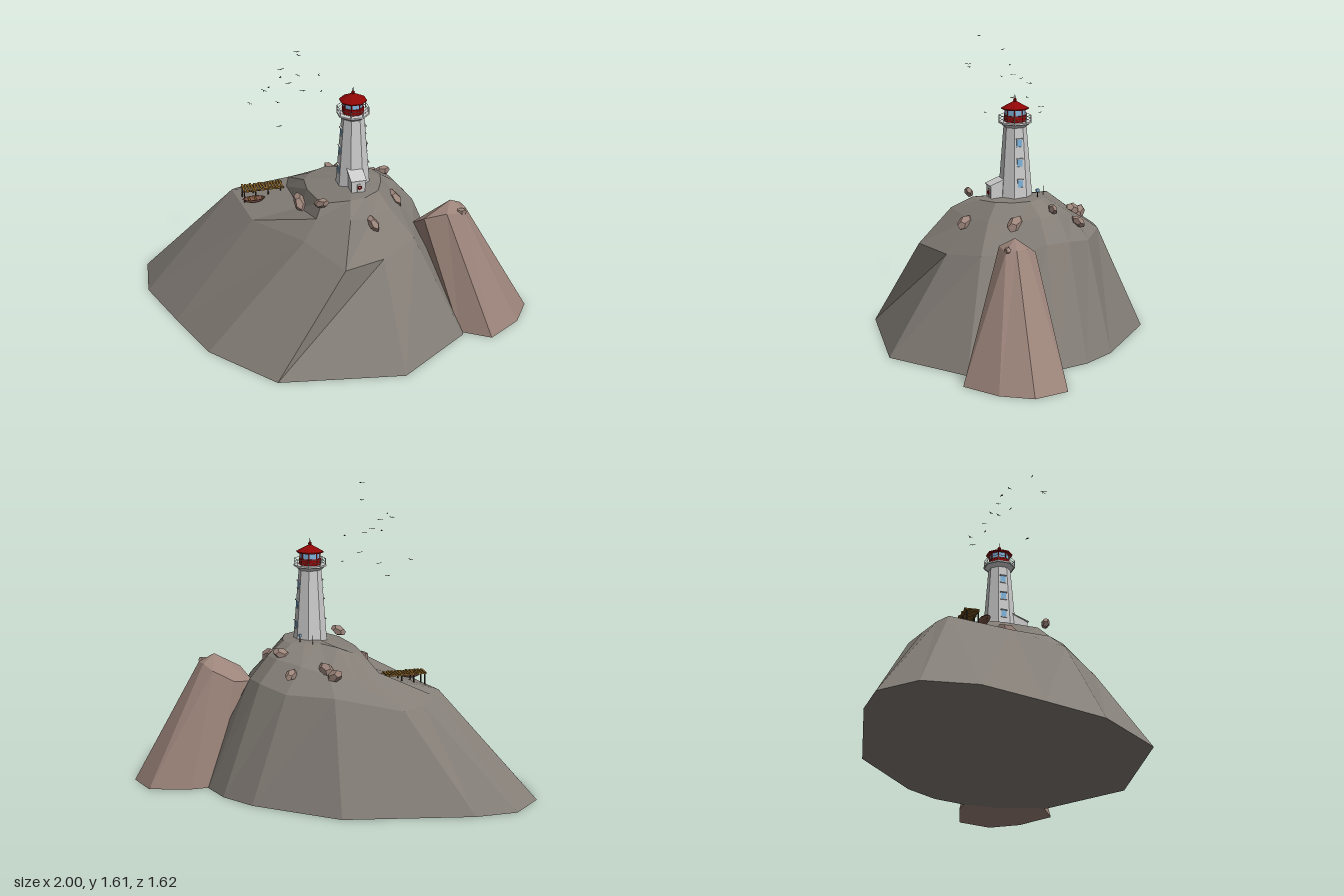
import * as THREE from 'three';

const mat = (color, side = THREE.FrontSide) =>
  new THREE.MeshStandardMaterial({ color, flatShading: true, side });
const GREY = mat(0xcccccc), ROCK = mat(0x847e77), CRAG = mat(0x9c847a), RED = mat(0x900606),
  GLASS = mat(0x7fb4dc), WOOD = mat(0x8a6428), DARK = mat(0x3a3430, THREE.DoubleSide),
  BOAT = mat(0x7d5548, THREE.DoubleSide);

function add(parent, name, geometry, material, x = 0, y = 0, z = 0) {
  const m = new THREE.Mesh(geometry, material);
  m.name = name;
  m.position.set(x, y, z);
  parent.add(m);
  return m;
}
const box = (w, h, d) => new THREE.BoxGeometry(w, h, d);

// Closed faceted solid through rings of [x, y, z] points, capped at both ends
function loft(rings, top, bottom) {
  const p = [], n = rings[0].length;
  const tri = (a, b, c) => p.push(...a, ...b, ...c);
  for (let i = 0; i < n; i++) {
    const j = (i + 1) % n;
    for (let r = 0; r + 1 < rings.length; r++) {
      const lo = rings[r], up = rings[r + 1];
      tri(lo[j], lo[i], up[i]);
      tri(lo[j], up[i], up[j]);
    }
    const last = rings[rings.length - 1];
    tri(top, last[j], last[i]);
    tri(bottom, rings[0][i], rings[0][j]);
  }
  const g = new THREE.BufferGeometry();
  g.setAttribute('position', new THREE.Float32BufferAttribute(p, 3));
  g.computeVertexNormals();
  return g;
}
const ground = pts => pts.map(([x, z]) => [x, 0, z]);

// Octagonal frustum with flats facing the axes; sizes are half widths
function octagon(low, high, h) {
  const k = 1 / Math.cos(Math.PI / 8);
  return new THREE.CylinderGeometry(high * k, low * k, h, 8).rotateY(Math.PI / 8);
}

function buildIsland(root) {
  const base = ground([[-0.9, -0.02], [-1, -0.37], [-0.96, -0.65], [-0.78, -0.81], [-0.55, -0.81],
    [0.12, -0.65], [0.5, -0.3], [0.61, -0.12], [0.65, 0.05], [0.65, 0.25], [0.57, 0.52],
    [0.16, 0.81], [-0.5, 0.7], [-0.79, 0.33]]);
  const shoulder = [[-0.46, 0.56, -0.03], [-0.5, 0.57, -0.38], [-0.46, 0.55, -0.43],
    [-0.38, 0.52, -0.48], [-0.26, 0.505, -0.52], [0.08, 0.57, -0.4], [0.3, 0.57, -0.25],
    [0.4, 0.6, -0.1], [0.42, 0.6, 0.03], [0.38, 0.55, 0.2], [0.33, 0.55, 0.36],
    [0.13, 0.52, 0.48], [-0.1, 0.53, 0.56], [-0.26, 0.6, 0.33]];
  // Sunken ledge on one side, slopes elsewhere
  const ledge = [[-0.21, 0.63, 0.02], [-0.22, 0.625, -0.24], [-0.2, 0.66, -0.28],
    [-0.14, 0.65, -0.31], [-0.06, 0.63, -0.33], [0.07, 0.66, -0.28], [0.2, 0.7, -0.19],
    [0.3, 0.72, -0.08], [0.32, 0.72, 0.03], [0.28, 0.7, 0.15], [0.22, 0.7, 0.28],
    [0.1, 0.69, 0.345], [-0.03, 0.73, 0.4], [-0.18, 0.69, 0.27]];
  const rim = [[-0.17, 0.74, 0.03], [-0.16, 0.74, -0.08], [-0.11, 0.74, -0.15],
    [-0.07, 0.755, -0.15], [-0.02, 0.775, -0.14], [0.06, 0.79, -0.08], [0.14, 0.79, -0.06],
    [0.2, 0.79, -0.02], [0.23, 0.79, 0.05], [0.21, 0.785, 0.13], [0.17, 0.785, 0.22],
    [0.08, 0.785, 0.28], [0, 0.785, 0.29], [-0.14, 0.75, 0.22]];
  add(root, 'islandRock', loft([base, shoulder, ledge, rim], [0.07, 0.8, 0.07], [-0.1, 0, 0]), ROCK);

  // Leaning crag against the island
  const foot = ground([[0.5, 0.2], [0.6, 0.06], [0.74, 0.06], [0.96, 0.13], [1, 0.32],
    [0.9, 0.47], [0.71, 0.59], [0.56, 0.49]]);
  const crown = [[0.36, 0.54, 0.19], [0.48, 0.56, 0.14], [0.59, 0.62, 0.16], [0.63, 0.65, 0.22],
    [0.64, 0.65, 0.28], [0.62, 0.64, 0.33], [0.52, 0.65, 0.33], [0.41, 0.61, 0.28]];
  add(root, 'crag', loft([foot, crown], [0.56, 0.695, 0.26], [0.75, 0, 0.28]), CRAG);

  // Loose boulders: x, y, z, size, turn
  [[0.1, 0.675, 0.365, 0.042, 0.4], [0.6, 0.64, 0.31, 0.03, 1], [0.28, 0.69, 0.15, 0.047, 0.5],
    [0.27, 0.745, -0.06, 0.037, 1.3], [0.26, 0.665, -0.21, 0.034, 2.2], [0.08, 0.69, -0.25, 0.04, 0.5],
    [0.05, 0.665, -0.3, 0.04, 0.7], [-0.15, 0.775, 0.26, 0.034, 1], [-0.21, 0.665, 0.03, 0.05, 0],
  ].forEach(([x, y, z, s, turn], i) => {
    const b = add(root, 'boulder', new THREE.DodecahedronGeometry(s), CRAG, x, y, z);
    b.scale.set(0.65, 0.85, 1.3);
    b.rotation.set(i % 2 ? -0.4 : 0.4, turn, 0.4, 'YXZ');
  });
}

function buildLighthouse() {
  const g = new THREE.Group();
  g.name = 'lighthouse';
  g.position.set(0.07, 0, 0.075);
  add(g, 'tower', octagon(0.085, 0.056, 0.4), GREY, 0, 0.97, 0);
  add(g, 'galleryBracket', octagon(0.056, 0.076, 0.02), GREY, 0, 1.173, 0);
  add(g, 'galleryDeck', octagon(0.081, 0.081, 0.009), GREY, 0, 1.187, 0);
  add(g, 'lanternBase', octagon(0.054, 0.054, 0.035), RED, 0, 1.208, 0);
  add(g, 'lanternGlass', octagon(0.049, 0.049, 0.036), GLASS, 0, 1.242, 0);
  add(g, 'eave', octagon(0.066, 0.068, 0.007), RED, 0, 1.26, 0);
  add(g, 'roof', octagon(0.068, 0.01, 0.034), RED, 0, 1.28, 0);
  add(g, 'vent', new THREE.SphereGeometry(0.01, 8, 6), RED, 0, 1.304, 0);
  add(g, 'finial', new THREE.CylinderGeometry(0.001, 0.003, 0.025, 6), DARK, 0, 1.322, 0);

  // Gallery railing and lantern glazing bars
  for (let i = 0; i < 8; i++) {
    const a = (i + 0.5) * Math.PI / 4, f = i * Math.PI / 4, r = 0.084;
    add(g, 'railPost', box(0.003, 0.036, 0.003), GREY, r * Math.sin(a), 1.207, r * Math.cos(a));
    add(g, 'glazingBar', box(0.005, 0.036, 0.005), RED, 0.053 * Math.sin(a), 1.242, 0.053 * Math.cos(a));
    for (const y of [1.207, 1.224]) {
      const rail = add(g, 'rail', box(0.065, 0.002, 0.002), GREY,
        0.078 * Math.sin(f), y, 0.078 * Math.cos(f));
      rail.rotation.y = f;
    }
  }

  // Hooded windows following the taper on both sides
  for (const s of [-1, 1]) for (const y of [0.87, 0.98, 1.085]) {
    const x = s * (0.085 - (y - 0.77) * 0.0725);
    add(g, 'window', box(0.007, 0.04, 0.028), GLASS, x, y, 0);
    add(g, 'windowHood', box(0.014, 0.005, 0.036), GREY, x + s * 0.002, y + 0.022, 0);
    add(g, 'windowSill', box(0.012, 0.004, 0.034), GREY, x + s * 0.001, y - 0.021, 0);
  }

  // Lean-to porch with a sloping roof
  const side = new THREE.Shape([[0.06, 0.77], [0.145, 0.77], [0.145, 0.855], [0.06, 0.89]]
    .map(([z, y]) => new THREE.Vector2(-z, y)));
  const porch = new THREE.ExtrudeGeometry(side, { depth: 0.074, bevelEnabled: false })
    .rotateY(Math.PI / 2);
  add(g, 'porch', porch, GREY, -0.045, 0, 0);
  const cover = add(g, 'porchRoof', box(0.084, 0.005, 0.1), GREY, -0.008, 0.875, 0.105);
  cover.rotation.x = 0.37;
  add(g, 'door', box(0.026, 0.045, 0.004), GREY, -0.002, 0.815, 0.146);
  add(g, 'wreath', new THREE.TorusGeometry(0.008, 0.004, 6, 12), RED, -0.002, 0.818, 0.15);
  return g;
}

function buildDock(root) {
  const g = new THREE.Group();
  g.name = 'dock';
  root.add(g);
  for (let i = 0; i < 14; i++) {
    const plank = add(g, 'plank', box(0.011, 0.005, 0.08), WOOD,
      -0.462 + i * 0.0162, 0.643, -0.245 + (i % 3 - 1) * 0.004);
    plank.rotation.y = (i % 4 - 1.5) * 0.05;
  }
  for (const z of [-0.275, -0.215]) {
    add(g, 'beam', box(0.23, 0.008, 0.006), WOOD, -0.355, 0.636, z);
    for (const x of [-0.462, -0.4, -0.33, -0.26])
      add(g, 'pile', new THREE.CylinderGeometry(0.004, 0.004, 0.08, 6), DARK, x, 0.6, z);
  }

  // Rowing boat: pointed hull with a rounded bottom
  const hull = new THREE.SphereGeometry(1, 10, 4, 0, Math.PI * 2, Math.PI / 2, Math.PI / 2);
  add(g, 'boatHull', hull, BOAT, -0.42, 0.615, -0.17).scale.set(0.06, 0.025, 0.026);
  const rim = add(g, 'boatRim', new THREE.TorusGeometry(1, 0.07, 4, 12).rotateX(Math.PI / 2),
    BOAT, -0.42, 0.615, -0.17);
  rim.scale.set(0.06, 0.03, 0.026);
  for (const x of [-0.445, -0.41])
    add(g, 'boatSeat', box(0.01, 0.003, 0.045), WOOD, x, 0.61, -0.17);
}

function buildBirds(root) {
  // Two thin bent wings and a slim body
  const wing = new THREE.BufferGeometry();
  wing.setAttribute('position', new THREE.Float32BufferAttribute(
    [0, 0, -0.003, 0, 0, 0.003, 0.009, 0.004, 0, 0.009, 0.004, 0, 0, 0, 0.003, 0.02, 0.001, -0.003], 3));
  wing.computeVertexNormals();
  [[-0.25, 1.605, 0.16], [-0.21, 1.53, 0.04], [-0.4, 1.43, 0.17], [-0.29, 1.43, -0.03],
    [-0.42, 1.41, 0.16], [-0.29, 1.375, -0.05], [-0.26, 1.375, 0.03], [-0.19, 1.37, -0.06],
    [-0.08, 1.36, -0.06], [-0.16, 1.27, -0.08], [-0.44, 1.22, -0.1], [-0.05, 1.235, -0.12],
    [-0.33, 1.17, 0.1], [-0.27, 1.16, -0.2]].forEach(([x, y, z], i) => {
    const bird = new THREE.Group();
    bird.name = 'bird';
    bird.position.set(x, y, z);
    bird.rotation.y = i * 2.1;
    for (const s of [-1, 1]) add(bird, 'wing', wing, DARK).scale.x = s;
    add(bird, 'birdBody', new THREE.OctahedronGeometry(0.002), DARK).scale.z = 4;
    root.add(bird);
  });
}

export function createModel() {
  const root = new THREE.Group();
  root.name = 'lighthouseIsland';
  buildIsland(root);
  root.add(buildLighthouse());
  buildDock(root);
  buildBirds(root);

  // Small signpost and pole behind the tower
  add(root, 'signPost', box(0.004, 0.04, 0.004), DARK, 0.155, 0.81, -0.02);
  add(root, 'signBox', box(0.012, 0.014, 0.016), GLASS, 0.155, 0.828, -0.02);
  add(root, 'pole', box(0.003, 0.055, 0.003), DARK, 0.1, 0.808, -0.074);
  return root;
}
